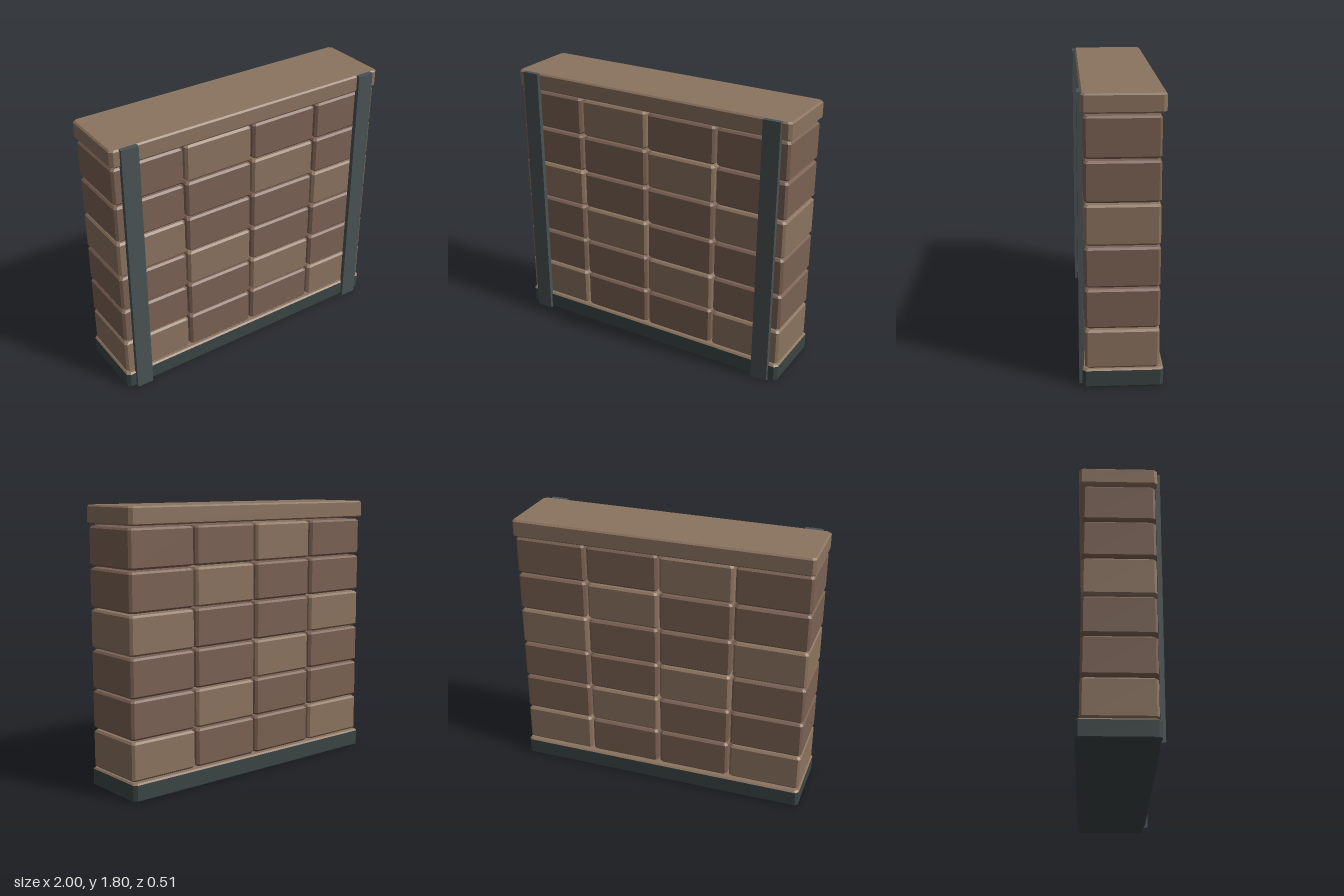
import * as THREE from 'three';

const mat = (color) => new THREE.MeshStandardMaterial({ color, flatShading: true });

// Box with cut vertical corners; rings are [y, inset] from bottom to top
function chamferedBlock(w, d, cut, rings) {
  const positions = [];
  const loops = rings.map(([y, inset]) => {
    const x = w / 2 - inset, z = d / 2 - inset;
    return [
      [x, z - cut], [x, cut - z], [x - cut, -z], [cut - x, -z],
      [-x, cut - z], [-x, z - cut], [cut - x, z], [x - cut, z],
    ].map(([px, pz]) => [px, y, pz]);
  });
  const tri = (...pts) => pts.forEach((p) => positions.push(...p));
  for (let k = 0; k < loops.length - 1; k++) {
    const lo = loops[k], hi = loops[k + 1];
    for (let i = 0; i < 8; i++) {
      const j = (i + 1) % 8;
      tri(lo[i], lo[j], hi[j]);
      tri(lo[i], hi[j], hi[i]);
    }
  }
  const bottom = loops[0], top = loops[loops.length - 1];
  for (let i = 1; i < 7; i++) {
    tri(top[0], top[i], top[i + 1]);
    tri(bottom[0], bottom[i + 1], bottom[i]);
  }
  const geo = new THREE.BufferGeometry();
  geo.setAttribute('position', new THREE.Float32BufferAttribute(positions, 3));
  geo.computeVertexNormals();
  return geo;
}

export function createModel() {
  const model = new THREE.Group();
  model.name = 'brickWall';
  const lightBrown = mat(0x8b735f);
  const darkBrown = mat(0x7a6153);
  const baseGrey = mat(0x3b4444);
  const strapGrey = mat(0x4a5355);

  const add = (parent, name, geo, material, x, y, z) => {
    const mesh = new THREE.Mesh(geo, material);
    mesh.name = name;
    mesh.position.set(x, y, z);
    parent.add(mesh);
    return mesh;
  };

  // Dark plinth with a thin brown ledge on top
  add(model, 'base', chamferedBlock(2, 0.49, 0.02, [[0, 0.01], [0.01, 0], [0.11, 0]]), baseGrey, 0, 0, -0.01);
  add(model, 'baseLedge', chamferedBlock(2, 0.49, 0.02, [[0.11, 0], [0.12, 0.01]]), lightBrown, 0, 0, -0.01);

  // Top cap
  add(model, 'cap', chamferedBlock(2, 0.49, 0.02, [[0, 0.01], [0.01, 0], [0.105, 0], [0.115, 0.01]]),
    lightBrown, 0, 1.685, -0.01);

  // Six rows of four bricks, separated by open joints
  const bricks = new THREE.Group();
  bricks.name = 'bricks';
  model.add(bricks);
  const brickGeo = chamferedBlock(0.485, 0.45, 0.015, [[0, 0.012], [0.013, 0], [0.235, 0], [0.248, 0.012]]);
  for (let row = 0; row < 6; row++) {
    for (let col = 0; col < 4; col++) {
      const material = (row + col) % 3 === 0 ? lightBrown : darkBrown;
      add(bricks, `brick_${row}_${col}`, brickGeo, material, (col - 1.5) * 0.5, 0.123 + row * 0.26, -0.005);
    }
  }

  // Two upright straps on the front
  const strapGeo = new THREE.BoxGeometry(0.115, 1.8, 0.03);
  for (const side of [-1, 1]) {
    add(model, side > 0 ? 'leftStrap' : 'rightStrap', strapGeo, strapGrey, side * 0.882, 0.9, 0.24);
  }

  return model;
}
